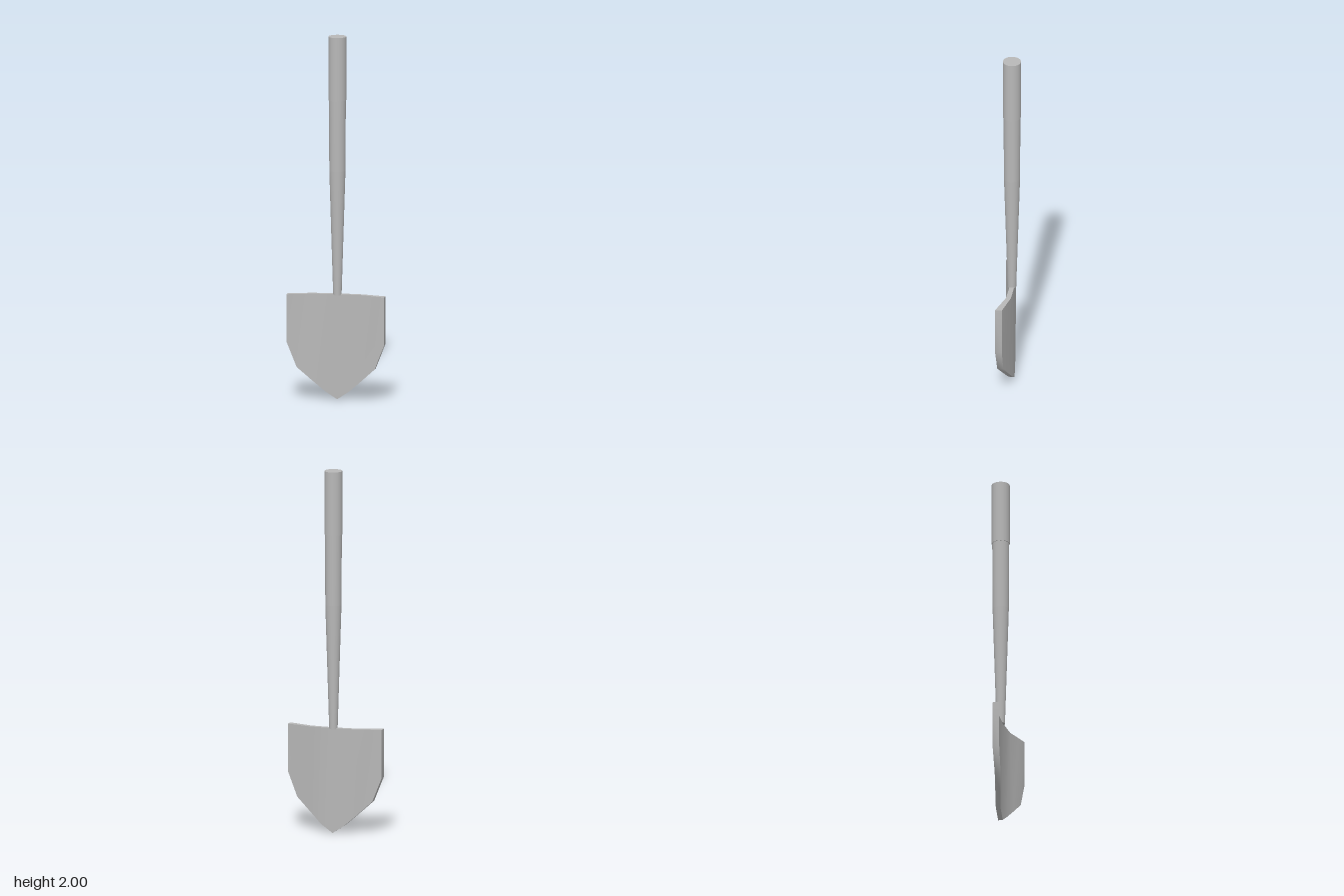
import * as THREE from 'three';
import { toCreasedNormals } from 'three/addons/utils/BufferGeometryUtils.js';

const steel = new THREE.MeshStandardMaterial({ color: 0xb8b8b8 });
steel.name = 'grey steel';

const AXIS_Z = -0.008;

// Upright round bar between two heights
function bar(name, y0, y1, r0, r1) {
  const mesh = new THREE.Mesh(new THREE.CylinderGeometry(r1, r0, y1 - y0, 24), steel);
  mesh.name = name;
  mesh.position.set(0, (y0 + y1) / 2, AXIS_Z);
  return mesh;
}

// Curved pointed blade: upright four-corner sections swept across x
function bladeGeometry() {
  const TOP = 0.58;
  // x, lower edge y, front z at top, front z at lower edge, thickness
  const half = [
    [0, 0, 0.003, 0.003, 0.025],
    [0.067, 0.045, 0.006, 0.008, 0.026],
    [0.134, 0.105, 0.010, 0.026, 0.027],
    [0.215, 0.18, 0.037, 0.048, 0.033],
    [0.268, 0.315, 0.054, 0.054, 0.037],
  ];
  const rows = [...half.slice(1).reverse().map(([x, ...r]) => [-x, ...r]), ...half];
  const sections = rows.map(([x, y, zTop, zLow, t]) => [
    [x, y, zLow], [x, TOP, zTop], [x, TOP, zTop - t], [x, y, zLow - t],
  ]);
  const pos = [];
  const quad = (a, b, c, d) => pos.push(...a, ...b, ...c, ...a, ...c, ...d);
  for (let i = 0; i < sections.length - 1; i++) {
    const s = sections[i], n = sections[i + 1];
    for (let k = 0; k < 4; k++) {
      const m = (k + 1) % 4;
      quad(s[k], n[k], n[m], s[m]);
    }
  }
  // Side edges
  quad(...sections[0]);
  quad(...[...sections[sections.length - 1]].reverse());
  const g = new THREE.BufferGeometry();
  g.setAttribute('position', new THREE.Float32BufferAttribute(pos, 3));
  return toCreasedNormals(g, 0.6);
}

export function createModel() {
  const model = new THREE.Group();
  model.name = 'shovel';

  const handle = new THREE.Group();
  handle.name = 'handle';
  handle.add(
    bar('grip', 1.65, 2, 0.049, 0.049),
    bar('upperShaft', 1.26, 1.65, 0.044, 0.046),
    bar('lowerShaft', 0.575, 1.26, 0.023, 0.044),
  );

  const blade = new THREE.Mesh(bladeGeometry(), steel);
  blade.name = 'blade';

  model.add(handle, blade);
  return model;
}
